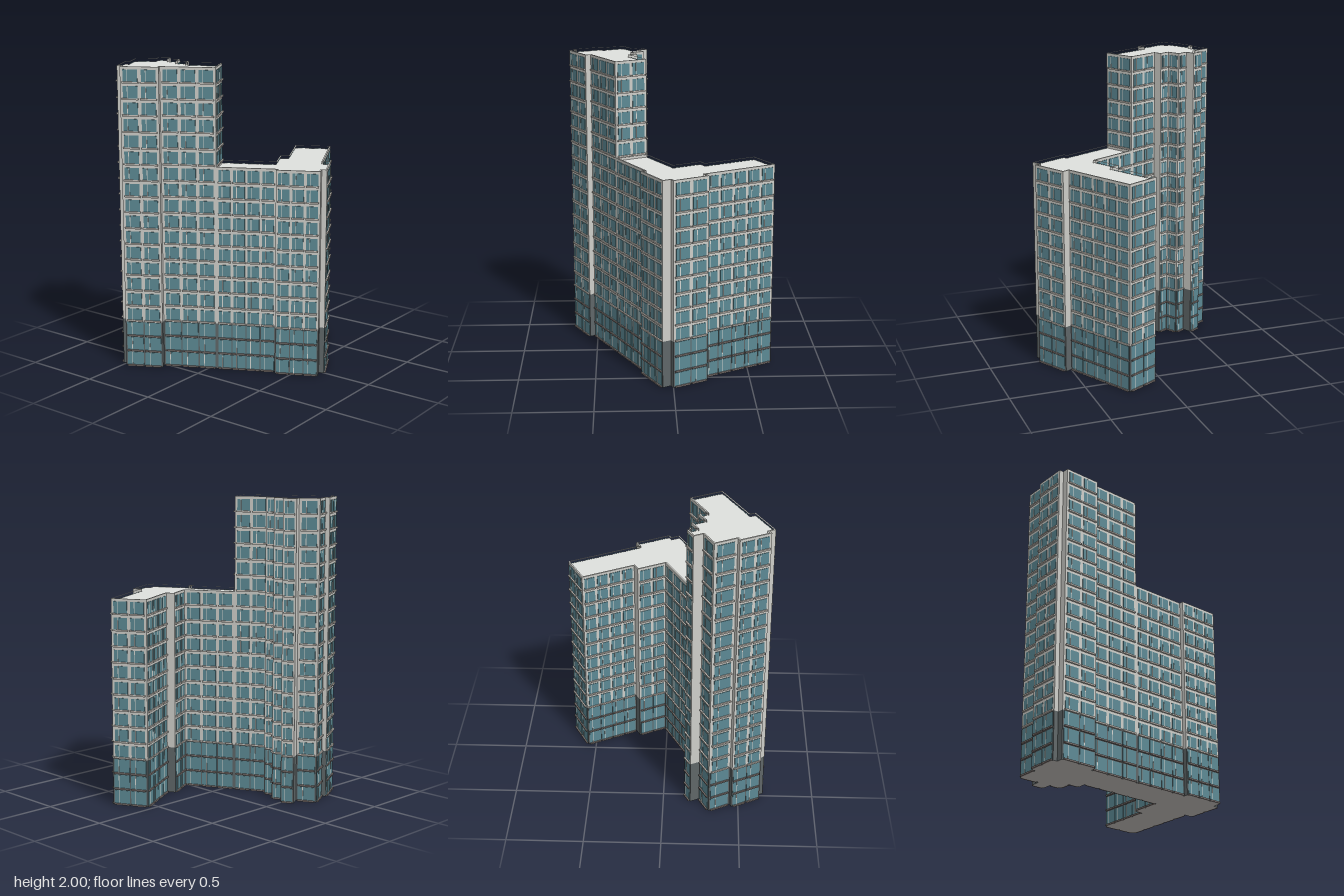
import * as THREE from 'three';
import { mergeGeometries } from 'three/addons/utils/BufferGeometryUtils.js';

const BASE_TOP = 0.313, LOW_TOP = 1.365, TOWER_TOP = 2.0;
const RIM = 0.01, RIM_HEIGHT = 0.02;

// Footprints on the building's own axes, first edge is the shared party wall
const LOW = [
  [-0.335, -0.122], [-0.108, -0.122], [-0.108, 0.233], [0.098, 0.233], [0.098, 0.29],
  [0.474, 0.29], [0.474, 0.533], [-0.05, 0.533], [-0.05, 0.584], [-0.305, 0.584],
  [-0.305, 0.55], [-0.364, 0.55], [-0.364, 0.266], [-0.335, 0.266],
];
const TOWER = [
  [-0.108, -0.122], [-0.335, -0.122], [-0.335, -0.48], [-0.373, -0.48], [-0.373, -0.73],
  [-0.33, -0.73], [-0.33, -0.76], [-0.116, -0.76], [-0.116, -0.731], [0.039, -0.731],
  [0.039, -0.594], [0.105, -0.594], [0.105, -0.505], [0.04, -0.505], [0.04, -0.428],
  [-0.052, -0.428], [-0.052, -0.35], [-0.108, -0.35],
];

const material = (name, color) => {
  const m = new THREE.MeshStandardMaterial({ color });
  m.name = name;
  return m;
};

const outward = (a, b) => {
  const l = Math.hypot(b[0] - a[0], b[1] - a[1]);
  return [(b[1] - a[1]) / l, -(b[0] - a[0]) / l];
};

// Footprint moved inwards by t; all corners are square
const inset = (pts, t) => pts.map((p, i) => {
  const n = pts.length;
  const a = outward(pts[(i + n - 1) % n], p), b = outward(p, pts[(i + 1) % n]);
  return [p[0] - (a[0] + b[0]) * t, p[1] - (a[1] + b[1]) * t];
});

const toVectors = (pts) => pts.map(([u, v]) => new THREE.Vector2(u, -v));

function slab(pts, y0, y1, hole) {
  const shape = new THREE.Shape(toVectors(pts));
  if (hole) shape.holes.push(new THREE.Path(toVectors(hole)));
  return new THREE.ExtrudeGeometry(shape, { depth: y1 - y0, bevelEnabled: false })
    .rotateX(-Math.PI / 2).translate(0, y0, 0);
}

// Floor levels: three podium storeys, then regular storeys
function floorLevels(top) {
  const levels = [0, 1, 2].map((i) => ({ y: i * BASE_TOP / 3, h: BASE_TOP / 3, podium: true }));
  const count = Math.round((top - BASE_TOP) / 0.1054);
  const h = (top - BASE_TOP) / count;
  for (let i = 0; i < count; i++) levels.push({ y: BASE_TOP + i * h, h, podium: false });
  return levels;
}

export function createModel() {
  const model = new THREE.Group();
  model.name = 'apartmentBuilding';
  const mats = {
    wall: material('concrete', 0xcecec9),
    roof: material('roof', 0xdfe1de),
    underside: material('underside', 0xc2bfba),
    podium: material('darkStone', 0x5f6668),
    glass: material('glass', 0x5c8994),
    frame: material('windowFrame', 0xd6d7d2),
    sill: material('sill', 0xcac5be),
    podiumSill: material('podiumSill', 0x857c79),
  };

  const add = (name, geometry, mat, parent) => {
    const mesh = new THREE.Mesh(geometry, mat);
    mesh.name = name;
    parent.add(mesh);
  };

  function buildBlock(name, pts, top) {
    const block = new THREE.Group();
    block.name = name;
    model.add(block);

    // Solid walls, sunken roof and parapet
    add('podiumWalls', slab(pts, 0, BASE_TOP), [mats.underside, mats.podium], block);
    add('upperWalls', slab(pts, BASE_TOP, top - RIM_HEIGHT), [mats.roof, mats.wall], block);
    add('parapet', slab(pts, top - RIM_HEIGHT, top, inset(pts, RIM)), mats.wall, block);

    // Windows, mullions and sills, laid out bay by bay on each long wall
    const parts = { glass: [], frame: [], sill: [], podiumSill: [] };
    pts.forEach((a, i) => {
      const b = pts[(i + 1) % pts.length];
      const length = Math.hypot(b[0] - a[0], b[1] - a[1]);
      const partyWall = i === 0;
      if (length < 0.068 || (partyWall && top === LOW_TOP)) return;
      const [nx, nz] = outward(a, b);
      const angle = Math.atan2(nx, nz);
      const bays = Math.max(1, Math.round((length - 0.012) / 0.1));
      const bay = (length - 0.012) / bays;

      for (let k = 0; k < bays; k++) {
        const t = (0.006 + (k + 0.5) * bay) / length;
        const cx = a[0] + (b[0] - a[0]) * t, cz = a[1] + (b[1] - a[1]) * t;
        const put = (list, w, h, d, x, y) => list.push(
          new THREE.BoxGeometry(w, h, d).translate(x, y, d / 2).rotateY(angle).translate(cx, 0, cz));

        for (const { y, h, podium } of floorLevels(top)) {
          if (partyWall && y < LOW_TOP - 0.01) continue;
          const width = bay * (podium ? 0.92 : 0.8);
          const height = h - (podium ? 0.014 : 0.026);
          const mid = y + 0.008 + height / 2;
          put(parts.glass, width, height, 0.003, 0, mid);
          put(parts.frame, 0.004, height, 0.005, -width * 0.2, mid);
          put(podium ? parts.podiumSill : parts.sill, bay * 0.9, 0.01, 0.012, 0, y + 0.005);
        }
      }
    });
    add('windows', mergeGeometries(parts.glass), mats.glass, block);
    add('windowMullions', mergeGeometries(parts.frame), mats.frame, block);
    add('windowSills', mergeGeometries(parts.sill), mats.sill, block);
    add('podiumSills', mergeGeometries(parts.podiumSill), mats.podiumSill, block);
  }

  buildBlock('lowBlock', LOW, LOW_TOP);
  buildBlock('tower', TOWER, TOWER_TOP);

  // The plan stands askew to the frame
  model.rotation.y = 0.48;
  return model;
}
